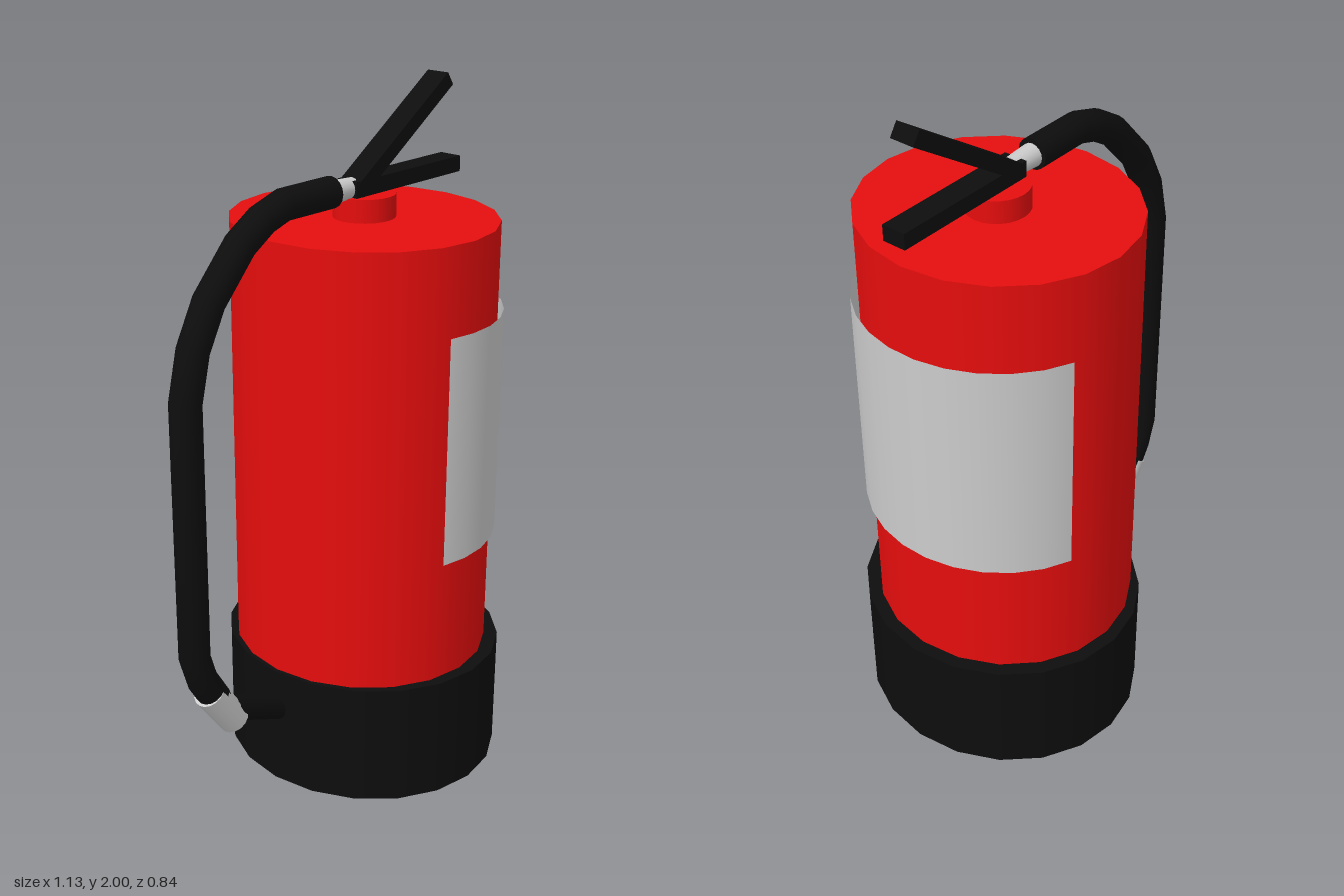
import * as THREE from 'three';

const mat = (color) => new THREE.MeshStandardMaterial({ color, side: THREE.DoubleSide });
const RED = mat(0xe60d0d), BLACK = mat(0x0d0d0d), GREY = mat(0xcccccc);

// Polyline whose corners land exactly on the rings of a tube
class Polyline extends THREE.Curve {
  constructor(points) {
    super();
    this.points = points.map(([x, y]) => new THREE.Vector3(x, y, 0));
  }
  getPointAt(u) {
    return this.points[Math.round(u * (this.points.length - 1))].clone();
  }
  getTangentAt(u) {
    const p = this.points, i = Math.round(u * (p.length - 1));
    const t = new THREE.Vector3();
    for (const k of [i - 1, i])
      if (p[k] && p[k + 1]) t.add(p[k + 1].clone().sub(p[k]).normalize());
    return t.normalize();
  }
}

export function createModel() {
  const model = new THREE.Group();

  const add = (name, geometry, material) => {
    const mesh = new THREE.Mesh(geometry, material);
    mesh.name = name;
    model.add(mesh);
    return mesh;
  };

  // Upright, slightly oval cylinder from y0 to y1
  const drum = (name, material, x, rx, rz, y0, y1, sides = 20) => {
    const g = new THREE.CylinderGeometry(1, 1, y1 - y0, sides).scale(rx, 1, rz);
    return add(name, g.translate(x, (y0 + y1) / 2, 0), material);
  };

  // Place a geometry lying along y between two points in the x-y plane
  const between = (name, geometry, material, [x0, y0], [x1, y1]) => {
    const mesh = add(name, geometry, material);
    mesh.position.set((x0 + x1) / 2, (y0 + y1) / 2, 0);
    mesh.rotation.z = Math.atan2(y1 - y0, x1 - x0) - Math.PI / 2;
    return mesh;
  };
  const dist = (a, b) => Math.hypot(b[0] - a[0], b[1] - a[1]);
  const rod = (name, material, a, b, r, rEnd = r) =>
    between(name, new THREE.CylinderGeometry(rEnd, r, dist(a, b), 16), material, a, b);
  const bar = (name, a, b, thick, width) =>
    between(name, new THREE.BoxGeometry(thick, dist(a, b), width), BLACK, a, b);

  // Tank
  drum('base', BLACK, 0.178, 0.39, 0.422, 0, 0.365);
  drum('tank', RED, 0.165, 0.365, 0.385, 0.3, 1.645);
  drum('neck', RED, 0.167, 0.09, 0.087, 1.6, 1.71, 24);

  // Label: arc wrapped round the front and left side
  const start = THREE.MathUtils.degToRad(-15.5), sweep = THREE.MathUtils.degToRad(175.5);
  const label = new THREE.CylinderGeometry(1, 1, 0.667, 14, 1, true, start, sweep);
  add('label', label.scale(0.369, 1, 0.388).translate(0.177, 1.0625, 0.008), GREY);

  // Squeeze handle
  bar('lowerHandle', [0.095, 1.733], [0.545, 1.733], 0.045, 0.07);
  bar('upperLever', [0.11, 1.728], [0.488, 1.982], 0.043, 0.072);
  rod('hoseCoupling', GREY, [0.02, 1.733], [0.115, 1.733], 0.033, 0.028);

  // Hose
  const path = [
    [0.03, 1.735], [-0.155, 1.735], [-0.235, 1.71], [-0.315, 1.66], [-0.43, 1.535],
    [-0.49, 1.42], [-0.522, 1.285], [-0.522, 0.545], [-0.495, 0.46], [-0.44, 0.37],
  ];
  add('hose', new THREE.TubeGeometry(new Polyline(path), path.length - 1, 0.044, 16), BLACK);
  const cap = add('hoseEnd', new THREE.CircleGeometry(0.044, 16), BLACK);
  cap.position.set(0.03, 1.735, 0);
  cap.rotation.y = Math.PI / 2;

  // Nozzle
  rod('nozzleCollar', GREY, [-0.473, 0.412], [-0.38, 0.285], 0.046);
  rod('nozzle', BLACK, [-0.4, 0.33], [-0.18, 0.232], 0.038);

  return model;
}
